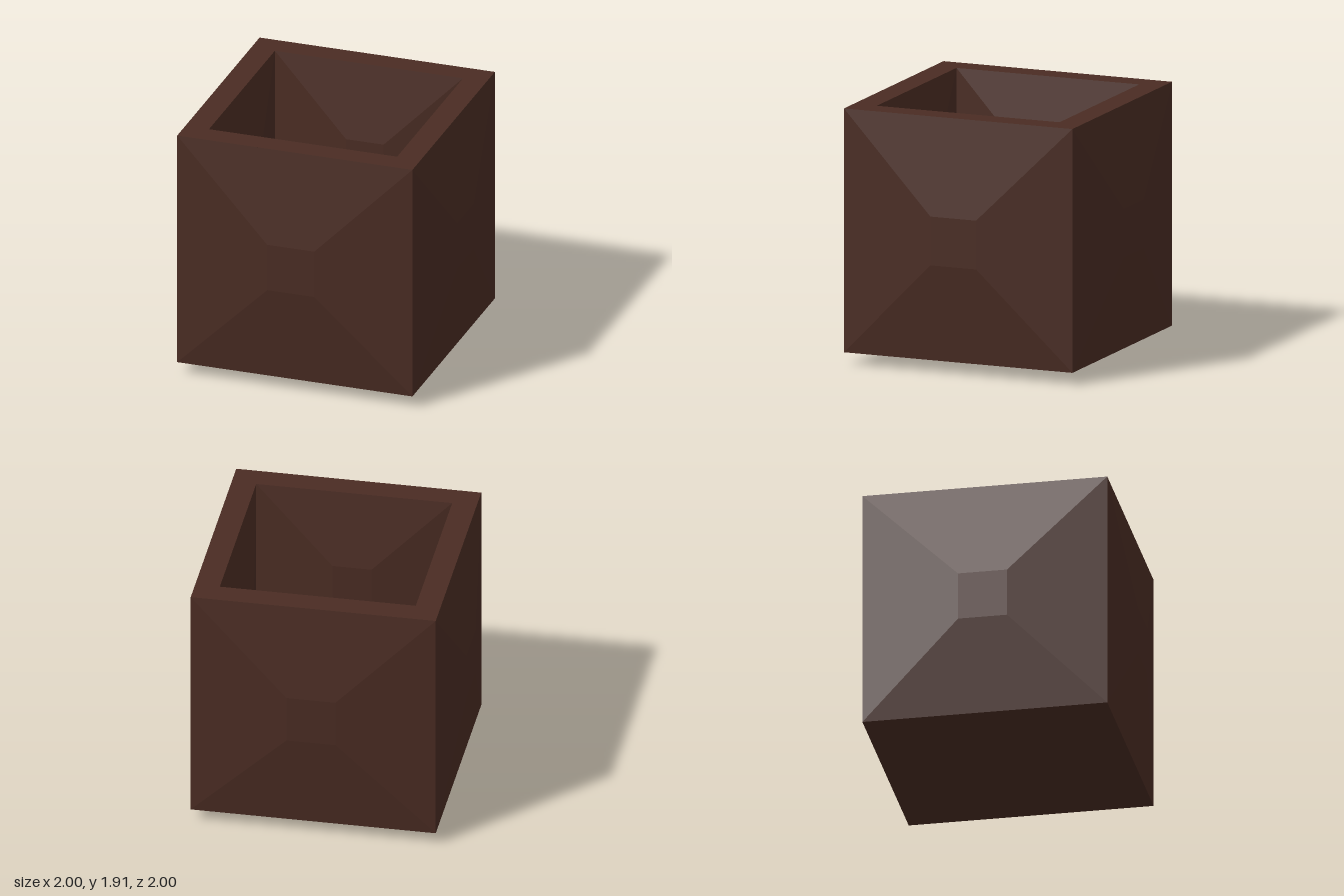
import * as THREE from 'three';

const brown = new THREE.MeshStandardMaterial({ color: 0x4a2c23 });
brown.name = 'darkBrown';

const OUTER = 0.909; // half width of the box
const INNER = 0.727; // half width of the hollow
const BULGE = 0.091; // how far every panel is raised
const TOP = BULGE + 2 * OUTER;

// Square panel facing +z: four slopes rising to a small flat square
function panelGeometry(half) {
  const flat = half * 0.2;
  const corners = [[-1, -1], [1, -1], [1, 1], [-1, 1]];
  const base = corners.map(([x, y]) => [x * half, y * half, 0]);
  const cap = corners.map(([x, y]) => [x * flat, y * flat, BULGE]);
  const points = [];
  const quad = (a, b, c, d) => points.push(...a, ...b, ...c, ...a, ...c, ...d);
  for (let i = 0; i < 4; i++) {
    const j = (i + 1) % 4;
    quad(base[i], base[j], cap[j], cap[i]);
  }
  quad(...cap);
  const geometry = new THREE.BufferGeometry();
  geometry.setAttribute('position', new THREE.Float32BufferAttribute(points, 3));
  geometry.computeVertexNormals();
  return geometry;
}

const SIDES = {
  Front: [0, 0, 1], Back: [0, 0, -1], Left: [1, 0, 0], Right: [-1, 0, 0], Bottom: [0, -1, 0],
};

// Five panels of an open cube, facing outward (1) or inward (-1)
function openCube(name, half, facing) {
  const group = new THREE.Group();
  group.name = name;
  const geometry = panelGeometry(half);
  const forward = new THREE.Vector3(0, 0, 1);
  for (const [side, axis] of Object.entries(SIDES)) {
    const direction = new THREE.Vector3(...axis);
    const mesh = new THREE.Mesh(geometry, brown);
    mesh.name = name + side;
    mesh.position.copy(direction).multiplyScalar(half);
    mesh.quaternion.setFromUnitVectors(forward, direction.multiplyScalar(facing));
    group.add(mesh);
  }
  group.position.y = TOP - half;
  return group;
}

export function createModel() {
  const model = new THREE.Group();
  model.name = 'openBox';
  model.add(openCube('outerWall', OUTER, 1), openCube('innerWall', INNER, -1));

  // Flat square rim joining the two shells
  const rim = new THREE.Mesh(
    new THREE.RingGeometry(INNER * Math.SQRT2, OUTER * Math.SQRT2, 4, 1, Math.PI / 4), brown);
  rim.name = 'rim';
  rim.rotation.x = -Math.PI / 2;
  rim.position.y = TOP;
  model.add(rim);
  return model;
}
